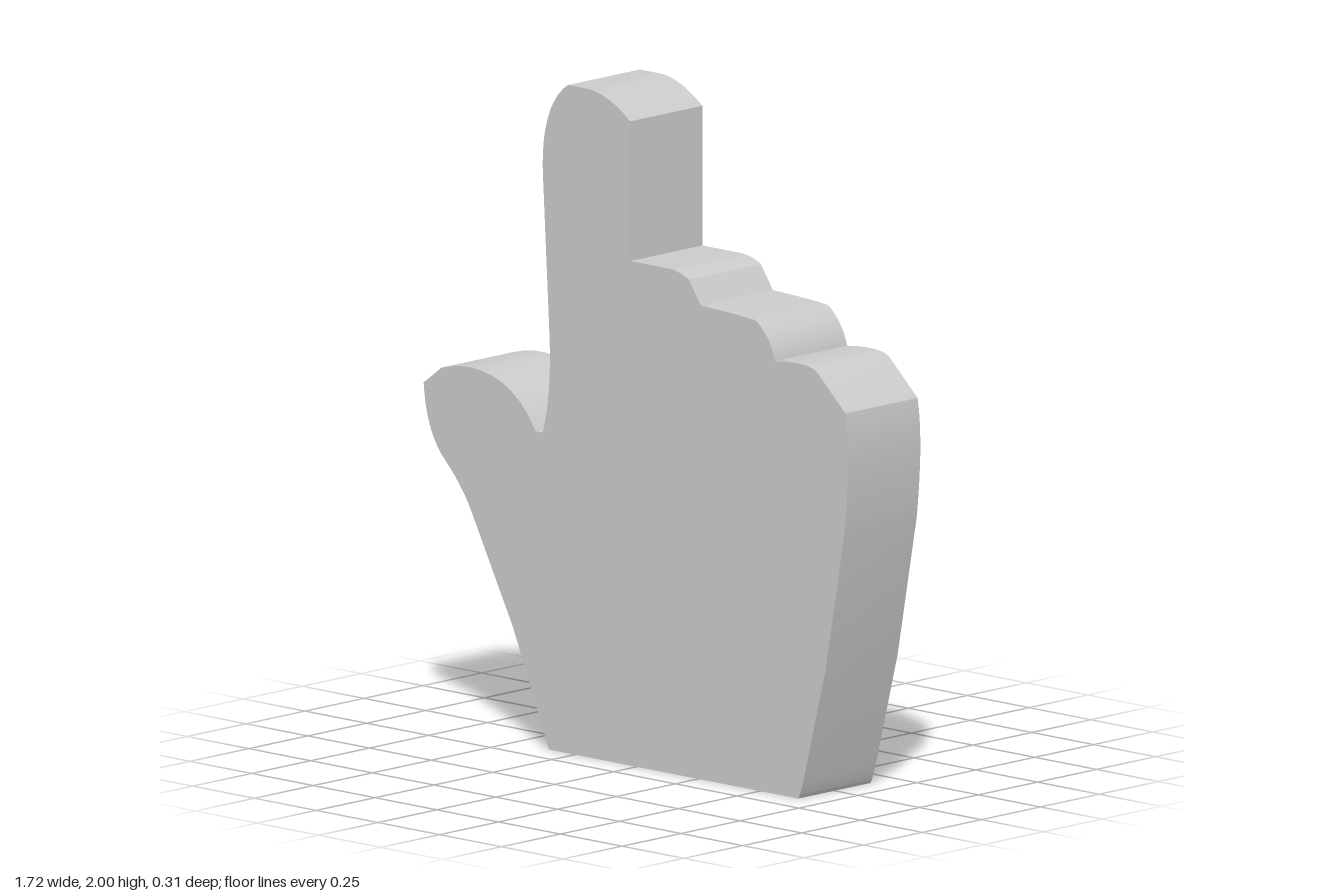
import * as THREE from 'three';
import { toCreasedNormals } from 'three/addons/utils/BufferGeometryUtils.js';

const DEPTH = 0.306;

// Outline of the hand, counter-clockwise from the wrist
function handOutline() {
  const s = new THREE.Shape();
  // wrist and outer edge of the palm
  s.moveTo(-0.355, 0);
  s.lineTo(0.655, 0);
  s.quadraticCurveTo(0.665, 0.015, 0.682, 0.08);
  s.lineTo(0.765, 0.4);
  s.lineTo(0.842, 0.82);
  s.bezierCurveTo(0.857, 0.95, 0.865, 1.08, 0.846, 1.18);
  // little finger knuckle
  s.lineTo(0.73, 1.288);
  s.quadraticCurveTo(0.69, 1.312, 0.56, 1.295);
  // ring finger knuckle
  s.quadraticCurveTo(0.545, 1.36, 0.485, 1.405);
  s.quadraticCurveTo(0.46, 1.411, 0.26, 1.418);
  // middle finger knuckle
  s.lineTo(0.212, 1.488);
  s.quadraticCurveTo(0.18, 1.508, 0.13, 1.51);
  s.lineTo(-0.025, 1.51);
  // raised index finger
  s.lineTo(-0.025, 1.928);
  s.quadraticCurveTo(-0.12, 2.0, -0.2, 2.0);
  s.lineTo(-0.278, 2.0);
  s.bezierCurveTo(-0.35, 1.955, -0.39, 1.85, -0.378, 1.7);
  s.lineTo(-0.353, 1.25);
  s.quadraticCurveTo(-0.343, 1.06, -0.38, 0.945);
  s.lineTo(-0.408, 0.945);
  // thumb
  s.bezierCurveTo(-0.5, 1.1, -0.66, 1.12, -0.79, 1.08);
  s.lineTo(-0.862, 1.025);
  s.bezierCurveTo(-0.855, 0.93, -0.83, 0.87, -0.79, 0.82);
  s.quadraticCurveTo(-0.71, 0.745, -0.67, 0.67);
  s.lineTo(-0.5, 0.345);
  s.closePath();
  return s;
}

export function createModel() {
  const group = new THREE.Group();
  group.name = 'pointingHand';

  // flat slab, smooth along its curves and sharp at its corners
  const slab = new THREE.ExtrudeGeometry(handOutline(), {
    depth: DEPTH, bevelEnabled: false, curveSegments: 10,
  });
  slab.translate(0, 0, -DEPTH / 2);

  const hand = new THREE.Mesh(
    toCreasedNormals(slab, 0.35),
    new THREE.MeshStandardMaterial({ color: 0xcccccc }),
  );
  hand.name = 'hand';
  group.add(hand);
  return group;
}
